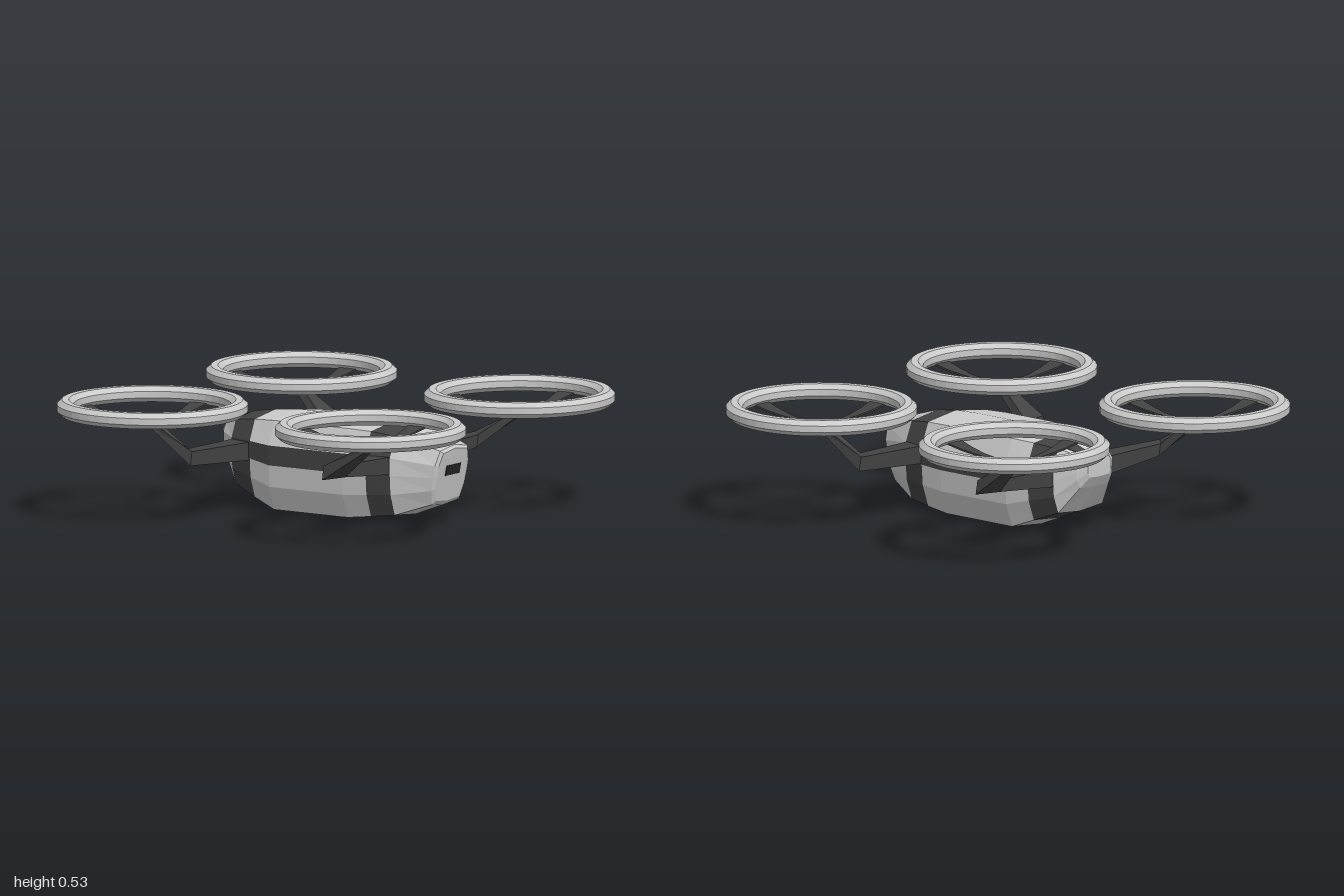
import * as THREE from 'three';

const paint = (color) => new THREE.MeshStandardMaterial({ color, flatShading: true });

// Skin a row of equal-length point loops; keep(i, j) selects which panels are made.
// Loops run counter-clockwise seen from the far end, or set flip for mirrored ones.
function loft(loops, { keep = () => true, caps = true, flip = false } = {}) {
  const pos = [];
  const tri = (a, b, c) => pos.push(...a, ...(flip ? c : b), ...(flip ? b : c));
  const n = loops[0].length;
  for (let i = 0; i < loops.length - 1; i++) {
    for (let j = 0; j < n; j++) {
      if (!keep(i, j)) continue;
      const k = (j + 1) % n;
      const a = loops[i][j], b = loops[i + 1][j], c = loops[i + 1][k], d = loops[i][k];
      tri(a, d, c);
      tri(a, c, b);
    }
  }
  const first = loops[0], last = loops[loops.length - 1];
  for (let j = 1; caps && j < n - 1; j++) {
    tri(first[0], first[j + 1], first[j]);
    tri(last[0], last[j], last[j + 1]);
  }
  const geo = new THREE.BufferGeometry();
  geo.setAttribute('position', new THREE.Float32BufferAttribute(pos, 3));
  geo.computeVertexNormals();
  return geo;
}

function add(parent, name, geo, mat) {
  const mesh = new THREE.Mesh(geo, mat);
  mesh.name = name;
  parent.add(mesh);
  return mesh;
}

// Half of the hull cross-section, from top to bottom: width and height fractions
const HALF = [[0, 1], [0.81, 0.94], [1, 0.7], [1, 0.5], [0.97, 0.28], [0.81, 0.04], [0, 0]];
const RING = [...HALF, ...HALF.slice(1, -1).reverse().map(([u, v]) => [-u, v])];

// Hull stations: x, half width, bottom, top, forward lean of the top
const HULL = [
  [-0.55, 0.075, 0.265, 0.355, 0],
  [-0.52, 0.115, 0.215, 0.375, 0],
  [-0.435, 0.175, 0.093, 0.412, 0],
  [-0.315, 0.21, 0.045, 0.43, 0],
  [-0.2, 0.232, 0, 0.44, 0],
  [0.19, 0.232, 0, 0.44, 0],
  [0.31, 0.223, 0.015, 0.435, 0],
  [0.425, 0.203, 0.03, 0.42, 0],
  [0.58, 0.13, 0.088, 0.357, 0.05],
  [0.593, 0.115, 0.105, 0.343, 0.046],
  [0.599, 0.08, 0.135, 0.31, 0.035],
];

function hull(light, dark, black) {
  const group = new THREE.Group();
  group.name = 'hull';
  const loops = HULL.map(([x, w, y0, y1, lean]) =>
    RING.map(([u, v]) => [x + lean * v, y0 + (y1 - y0) * v, w * u]));
  const sideStrip = (j) => j === 2 || j === RING.length - 3;
  const isDark = (i, j) => i === 2 || i === 6 || (i > 2 && i < 6 && sideStrip(j));
  add(group, 'hullPanels', loft(loops, { keep: (i, j) => !isDark(i, j) }), light);
  add(group, 'hullBands', loft(loops, { keep: isDark, caps: false }), dark);

  // Twin tapered windows on the -x end
  for (const side of [1, -1]) {
    const sections = [[0, 0.6, 0.8], [1, 0.36, 0.8], [2, 0.3, 0.8]].map(([s, t0, t1]) => {
      const [x, w, y0, y1] = HULL[s];
      const y = (t) => y1 - 0.06 * t * (y1 - y0);
      const z = (t) => side * 0.81 * w * t;
      return [
        [x, y(t0) + 0.003, z(t0)], [x, y(t1) + 0.003, z(t1)],
        [x, y(t1) - 0.004, z(t1)], [x, y(t0) - 0.004, z(t0)],
      ];
    });
    add(group, 'window', loft(sections, { flip: side < 0 }), dark);
  }

  // Sensor slot on the leaning +x face
  const slot = add(group, 'sensorSlot', new THREE.BoxGeometry(0.012, 0.046, 0.11), black);
  slot.position.set(0.618, 0.247, 0);
  slot.rotation.z = -0.19;
  return group;
}

// Cranked arm: out from the hull, round a mitred elbow, up to the rotor
function arm(sx, sz, near, far) {
  const loops = [
    [[near[0], 0.225, 0.15], [near[0], 0.308, 0.15], [near[1], 0.308, 0.15], [near[1], 0.225, 0.15]],
    [[far[0], 0.258, 0.51], [far[0], 0.312, 0.52], [far[1], 0.312, 0.585], [far[1], 0.25, 0.597]],
    [[0.605, 0.42, 0.555], [0.555, 0.42, 0.555], [0.555, 0.42, 0.597], [0.605, 0.42, 0.597]],
  ].map((loop) => loop.map(([x, y, z]) => [sx * x, y, sz * z]));
  return loft(loops, { flip: sx * sz < 0 });
}

// Thin strap dipping to the hub and flaring toward the rim on both sides
function bladePair() {
  const half = [[0.03, 0.025, 0.41], [0.12, 0.015, 0.416], [0.2, 0.021, 0.424], [0.28, 0.033, 0.437], [0.365, 0.045, 0.457]];
  const stations = [...half.map(([x, w, y]) => [-x, w, y]).reverse(), ...half];
  return loft(stations.map(([x, w, y]) =>
    [[x, y + 0.008, -w], [x, y + 0.008, w], [x, y, w], [x, y, -w]]));
}

// Octagonal-section guard ring with flat top, bottom and sides
function guardRing() {
  const profile = [];
  for (let i = 0; i <= 8; i++) {
    const a = (i + 0.5) * Math.PI / 4;
    profile.push(new THREE.Vector2(0.3825 + 0.0406 * Math.cos(a), 0.49 + 0.0379 * Math.sin(a)));
  }
  return new THREE.LatheGeometry(profile, 48);
}

export function createModel() {
  const model = new THREE.Group();
  model.name = 'quadcopter';
  const light = paint(0xcccccc);
  const dark = paint(0x424242);
  const black = paint(0x262626);

  model.add(hull(light, dark, black));

  const ringGeo = guardRing();
  const bladeGeo = bladePair();
  for (const sx of [-1, 1]) {
    const near = sx < 0 ? [0.435, 0.315] : [0.425, 0.31];
    const far = sx < 0 ? [0.43, 0.365] : [0.4, 0.335];
    for (const sz of [-1, 1]) {
      add(model, 'arm', arm(sx, sz, near, far), dark);
      const rotor = new THREE.Group();
      rotor.name = 'rotor';
      rotor.position.set(sx * 0.58, 0, sz * 0.578);
      add(rotor, 'guardRing', ringGeo, light);
      add(rotor, 'blades', bladeGeo, dark);
      add(rotor, 'crossBlades', bladeGeo, dark).rotation.y = Math.PI / 2;
      model.add(rotor);
    }
  }
  return model;
}
